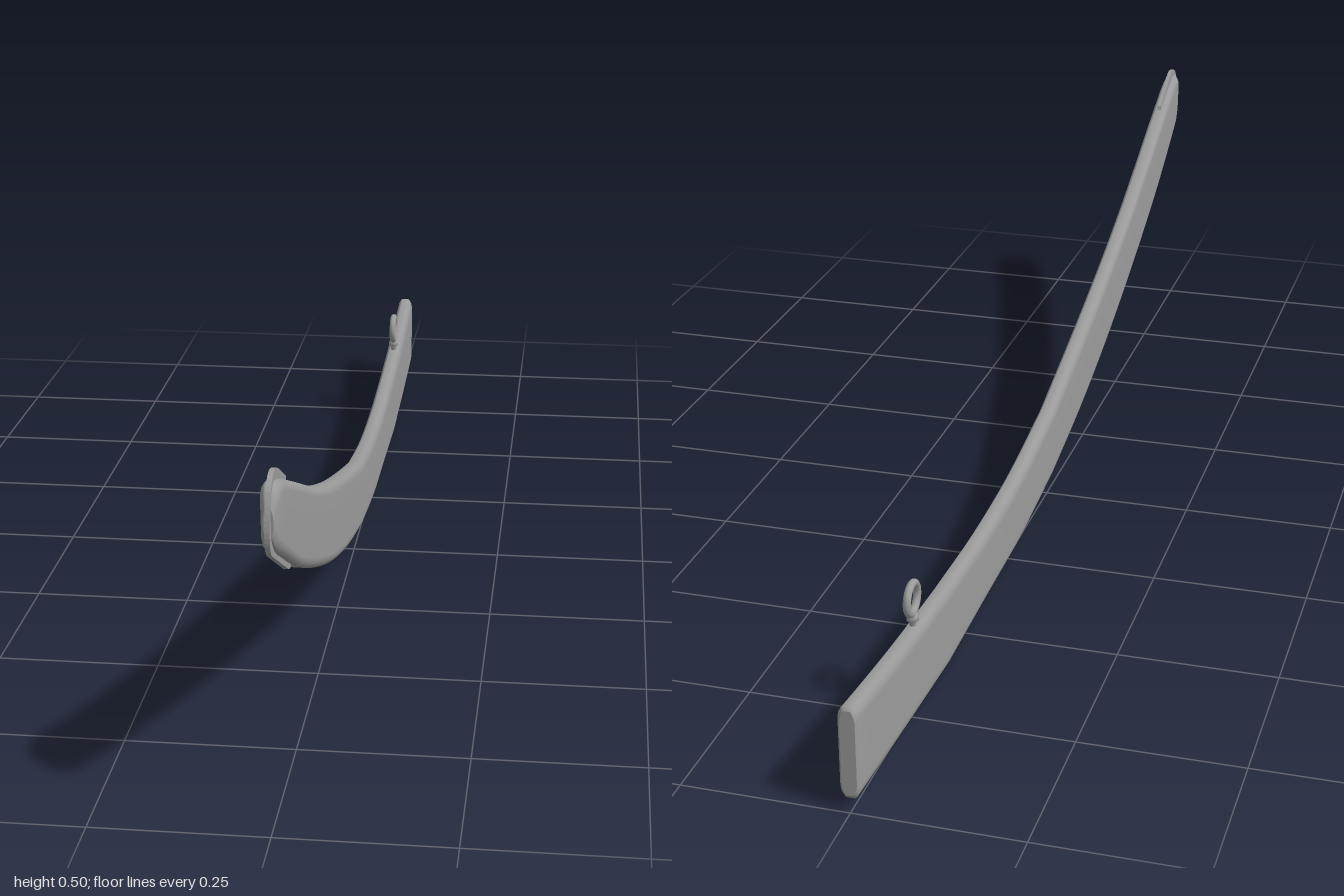
import * as THREE from 'three';

const material = new THREE.MeshStandardMaterial({ color: 0x9c9c9c, side: THREE.DoubleSide });

// Paired stations along the sheath: [zTop, yTop, zBottom, yBottom, halfThickness]
const STATIONS = [
  [-1, 0.168, -1, 0.023, 0.0145], [-0.8, 0.146, -0.8, 0.011, 0.015],
  [-0.6, 0.132, -0.6, 0.001, 0.015], [-0.4, 0.126, -0.4, 0.009, 0.015],
  [-0.2, 0.135, -0.21, 0.016, 0.015], [0, 0.164, -0.01, 0.039, 0.015],
  [0.2, 0.218, 0.18, 0.08, 0.015], [0.4, 0.277, 0.37, 0.135, 0.015],
  [0.6, 0.347, 0.56, 0.204, 0.015], [0.8, 0.43, 0.75, 0.284, 0.015],
  [0.88, 0.463, 0.84, 0.329, 0.015], [0.93, 0.483, 0.9, 0.361, 0.015],
  [0.96, 0.49, 0.945, 0.385, 0.0145], [0.977, 0.484, 0.968, 0.401, 0.012],
  [0.99, 0.465, 0.987, 0.422, 0.007],
];
// Station numbers where one smooth run ends in a slight kink
const RUNS = [[0, 2], [2, 5], [5, 14]];

// Chamfered edge of the section: [distance from edge, share of half thickness]
const EDGE = [[0, 0.45], [0.004, 0.68], [0.01, 0.9], [0.019, 1]];

// Closed section loop, counter-clockwise seen from the front
function section(top, bottom, half) {
  const height = top.distanceTo(bottom);
  const right = [];
  const at = (d, share) => bottom.clone().lerp(top, d / height).setX(half * share);
  EDGE.forEach(([d, s]) => right.push(at(Math.min(d, height * 0.4), s)));
  [...EDGE].reverse().forEach(([d, s]) => right.push(at(height - Math.min(d, height * 0.4), s)));
  const left = right.map((p) => p.clone().setX(-p.x)).reverse();
  return [...right, ...left];
}

function loft(rings) {
  const n = rings[0].length;
  const points = rings.flat();
  const index = [];
  for (let i = 0; i < rings.length - 1; i++) {
    for (let j = 0; j < n; j++) {
      const a = i * n + j, b = i * n + (j + 1) % n;
      index.push(a, b, a + n, b, b + n, a + n);
    }
  }
  // Flat ends with their own vertices
  [[rings[0], true], [rings[rings.length - 1], false]].forEach(([ring, back]) => {
    const start = points.length;
    points.push(...ring);
    for (let j = 1; j < n - 1; j++) {
      index.push(start, start + (back ? j + 1 : j), start + (back ? j : j + 1));
    }
  });
  const geometry = new THREE.BufferGeometry().setFromPoints(points);
  geometry.setIndex(index);
  geometry.computeVertexNormals();
  return geometry;
}

export function createModel() {
  const group = new THREE.Group();
  const add = (name, geometry, parent = group) => {
    const mesh = new THREE.Mesh(geometry, material);
    mesh.name = name;
    parent.add(mesh);
    return mesh;
  };

  // Curved sheath body, run by run
  const rings = [];
  RUNS.forEach(([first, last]) => {
    const run = STATIONS.slice(first, last + 1);
    const tops = new THREE.CatmullRomCurve3(run.map((s) => new THREE.Vector3(0, s[1], s[0])));
    const bottoms = new THREE.CatmullRomCurve3(run.map((s) => new THREE.Vector3(0, s[3], s[2])));
    const spans = last - first, steps = spans * 4;
    for (let i = first ? 1 : 0; i <= steps; i++) {
      const t = i / steps, k = Math.min(Math.floor(t * spans), spans - 1);
      const half = THREE.MathUtils.lerp(run[k][4], run[k + 1][4], t * spans - k);
      rings.push(section(tops.getPoint(t), bottoms.getPoint(t), half));
    }
  });
  // Small bevel around the mouth
  const mouth = section(new THREE.Vector3(0, 0.162, -1), new THREE.Vector3(0, 0.029, -1), 0.011);
  rings[0].forEach((p) => { p.z += 0.004; });
  add('sheathBody', loft([mouth, ...rings]));

  // Thin edge guard around the tip, drawn in (z, y)
  const outline = new THREE.Shape();
  outline.moveTo(0.845, 0.44);
  outline.lineTo(0.85, 0.457);
  outline.lineTo(0.92, 0.494);
  outline.quadraticCurveTo(0.965, 0.515, 0.985, 0.486);
  outline.quadraticCurveTo(1.004, 0.45, 0.998, 0.42);
  outline.quadraticCurveTo(0.994, 0.402, 0.975, 0.393);
  outline.lineTo(0.835, 0.317);
  outline.quadraticCurveTo(0.815, 0.307, 0.803, 0.315);
  outline.lineTo(0.81, 0.34);
  const guard = new THREE.ExtrudeGeometry(outline, {
    depth: 0.007, bevelEnabled: false, curveSegments: 8,
  });
  guard.translate(0, 0, -0.0035);
  guard.rotateY(-Math.PI / 2);
  add('tipGuard', guard);

  // Hanging ring on a short collared stem
  const hanger = new THREE.Group();
  hanger.name = 'hanger';
  hanger.position.set(0, 0, -0.725);
  group.add(hanger);
  const stem = [[0, 0.13], [0.005, 0.13], [0.005, 0.145], [0.009, 0.149], [0.009, 0.155],
    [0.006, 0.161], [0, 0.163]];
  add('stem', new THREE.LatheGeometry(stem.map(([r, y]) => new THREE.Vector2(r, y)), 16), hanger);
  const ring = add('ring', new THREE.TorusGeometry(0.023, 0.006, 10, 32), hanger);
  ring.rotation.y = Math.PI / 2;
  ring.position.y = 0.184;

  return group;
}
